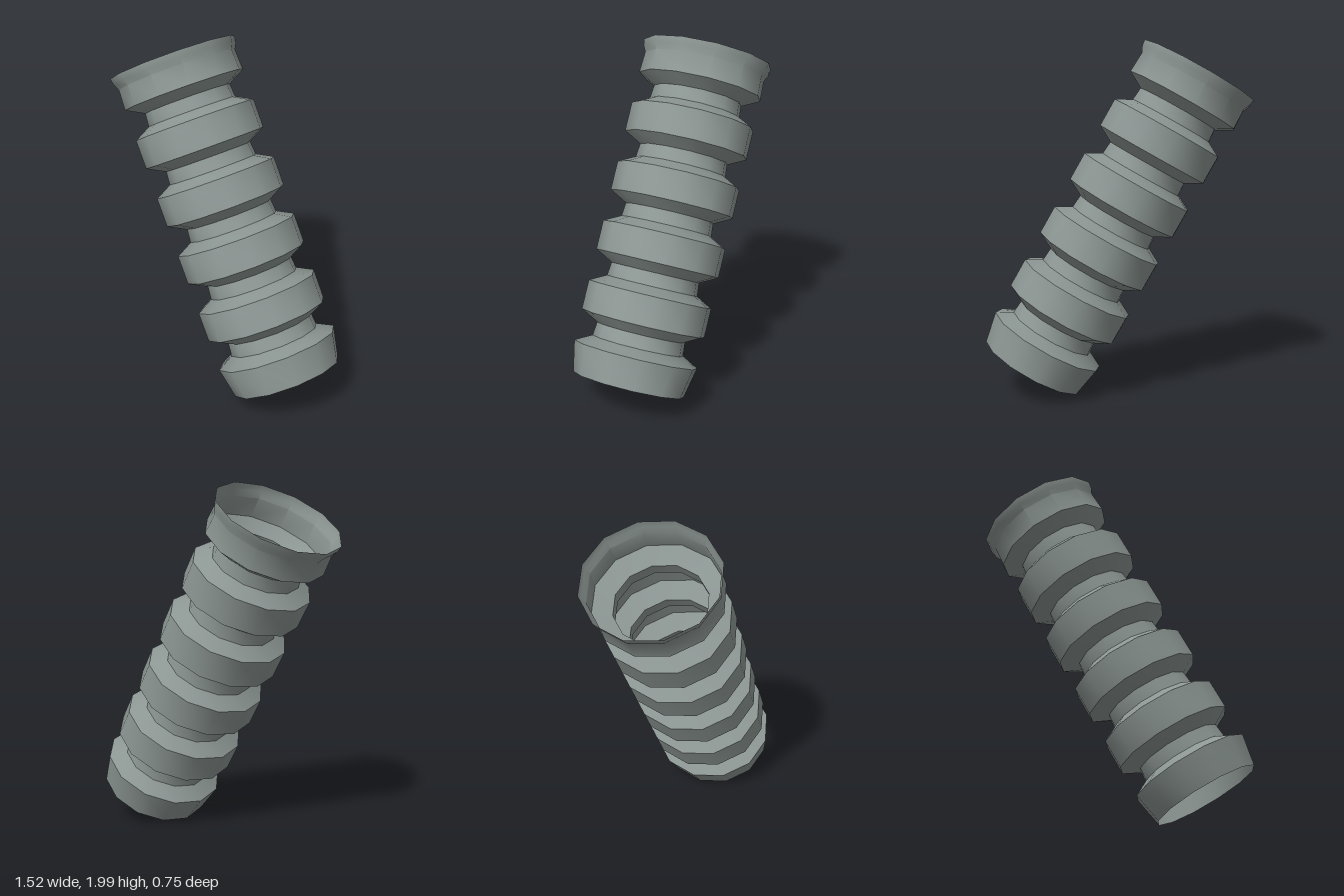
import * as THREE from 'three';
import { toCreasedNormals } from 'three/addons/utils/BufferGeometryUtils.js';

export function createModel() {
  const model = new THREE.Group();
  model.name = 'corrugatedHose';

  const rubber = new THREE.MeshStandardMaterial({ color: 0x8c9693, side: THREE.DoubleSide });
  rubber.name = 'grey rubber';

  // Profile along the hose axis: tapered open end, then repeated grooves and bands
  const pitch = 0.344, bands = 5;
  const profile = [[0.305, 0]];
  for (let i = 0; i < bands; i++) {
    const s = i * pitch;
    profile.push([0.339, s + 0.173], [0.25, s + 0.222], [0.243, s + 0.298], [0.339, s + 0.351]);
  }
  // Flared lip at the upper open end
  profile.push([0.333, 1.845], [0.35, 1.88], [0.356, 1.917]);

  // Twelve-sided hose wall, slightly wider in z
  const wall = new THREE.LatheGeometry(profile.map(([r, y]) => new THREE.Vector2(r, y)), 12);
  wall.scale(1, 1, 1.06);
  const hose = new THREE.Mesh(toCreasedNormals(wall, 0.7), rubber);
  hose.name = 'hoseWall';

  // Lean the hose towards -x
  hose.rotation.z = THREE.MathUtils.degToRad(29.6);
  hose.position.set(0.495, 0.153, 0);
  model.add(hose);
  return model;
}
